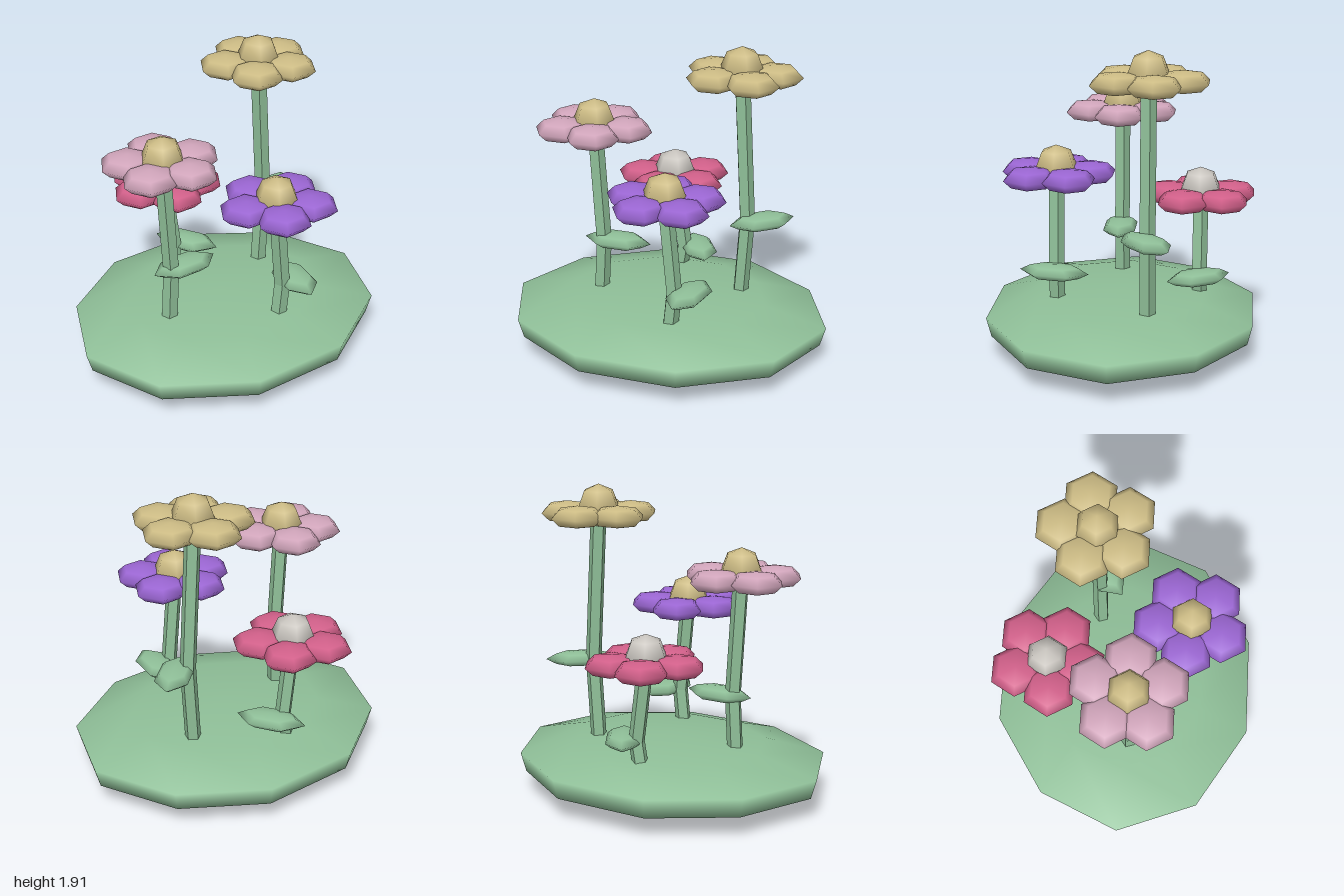
import * as THREE from 'three';

const paint = (name, color) => {
  const m = new THREE.MeshStandardMaterial({ color });
  m.name = name;
  return m;
};

export function createModel() {
  const green = paint('leaf green', 0x8fbf98);
  const tan = paint('pollen tan', 0xcdbc85);
  const pink = paint('pale pink', 0xd2a6bc);
  const purple = paint('violet purple', 0x9b66d3);
  const rose = paint('deep rose', 0xd2608a);
  const grey = paint('warm grey', 0xcac6c0);

  const model = new THREE.Group();
  model.name = 'flowerPatch';

  const add = (parent, name, geometry, material, x = 0, y = 0, z = 0) => {
    const mesh = new THREE.Mesh(geometry, material);
    mesh.name = name;
    mesh.position.set(x, y, z);
    parent.add(mesh);
    return mesh;
  };

  // Ground: flattened ten-sided mound, slightly narrower below and at the back corners
  const ground = new THREE.SphereGeometry(1, 10, 5);
  const gp = ground.attributes.position;
  for (let i = 0; i < gp.count; i++) {
    const x = gp.getX(i), y = gp.getY(i), z = gp.getZ(i);
    const k = y < 0 ? 0.965 : 1;
    const back = z < -0.3 && Math.abs(x) > 0.4 ? 0.965 : 1;
    gp.setXYZ(i, x * k * back, y, z * k);
  }
  ground.scale(1.0515, 0.19, 0.885);
  add(model, 'ground', ground, green, 0, 0.19, 0);

  // Shared low-poly blobs for petals, flower centres and leaves
  const blob = (rx, ry, rz) => new THREE.SphereGeometry(1, 6, 4).scale(rx, ry, rz);
  const petalGeometry = blob(0.168, 0.067, 0.168);
  const centreGeometry = blob(0.133, 0.133, 0.133);
  const leafGeometry = blob(0.215, 0.047, 0.115);

  // Five-sided stem that bends sideways at the leaf
  const stemGeometry = (points) => {
    const g = new THREE.CylinderGeometry(0.05, 0.05, 2, 5, 2).rotateY(Math.PI);
    const p = g.attributes.position;
    for (let i = 0; i < p.count; i++) {
      const [x, y] = points[Math.round(p.getY(i)) + 1];
      p.setXY(i, p.getX(i) + x, y);
    }
    const flat = g.toNonIndexed();
    flat.computeVertexNormals();
    return flat;
  };

  // Flower: x positions of stem foot, bend and head, then heights and colours
  const flowers = [
    { name: 'pinkFlower', x: [-0.44, -0.415, -0.46], z: 0.045, bend: 0.667, head: 1.395, petal: pink, centre: tan },
    { name: 'tanFlower', x: [0.4, 0.44, 0.39], z: -0.18, bend: 0.82, head: 1.733, petal: tan, centre: tan },
    { name: 'purpleFlower', x: [0.125, 0.16, 0.105], z: 0.39, bend: 0.54, head: 1.112, petal: purple, centre: tan },
    { name: 'roseFlower', x: [-0.1, -0.055, -0.12], z: -0.465, bend: 0.46, head: 0.94, petal: rose, centre: grey },
  ];

  flowers.forEach((f, i) => {
    const flower = new THREE.Group();
    flower.name = f.name;
    flower.position.z = f.z;
    model.add(flower);
    const [foot, bend, top] = f.x;

    add(flower, 'stem', stemGeometry([[foot, 0.2], [bend, f.bend], [top, f.head]]), green);
    add(flower, 'leaf', leafGeometry, green, bend + 0.095, f.bend, 0).rotation.y = i * 0.7;
    add(flower, 'centre', centreGeometry, f.centre, top, f.head + 0.042, 0);
    for (let k = 0; k < 5; k++) {
      const a = (k * Math.PI * 2) / 5 - i * 0.25;
      add(flower, 'petal', petalGeometry, f.petal, top + 0.2 * Math.cos(a), f.head, 0.2 * Math.sin(a));
    }
  });

  return model;
}
